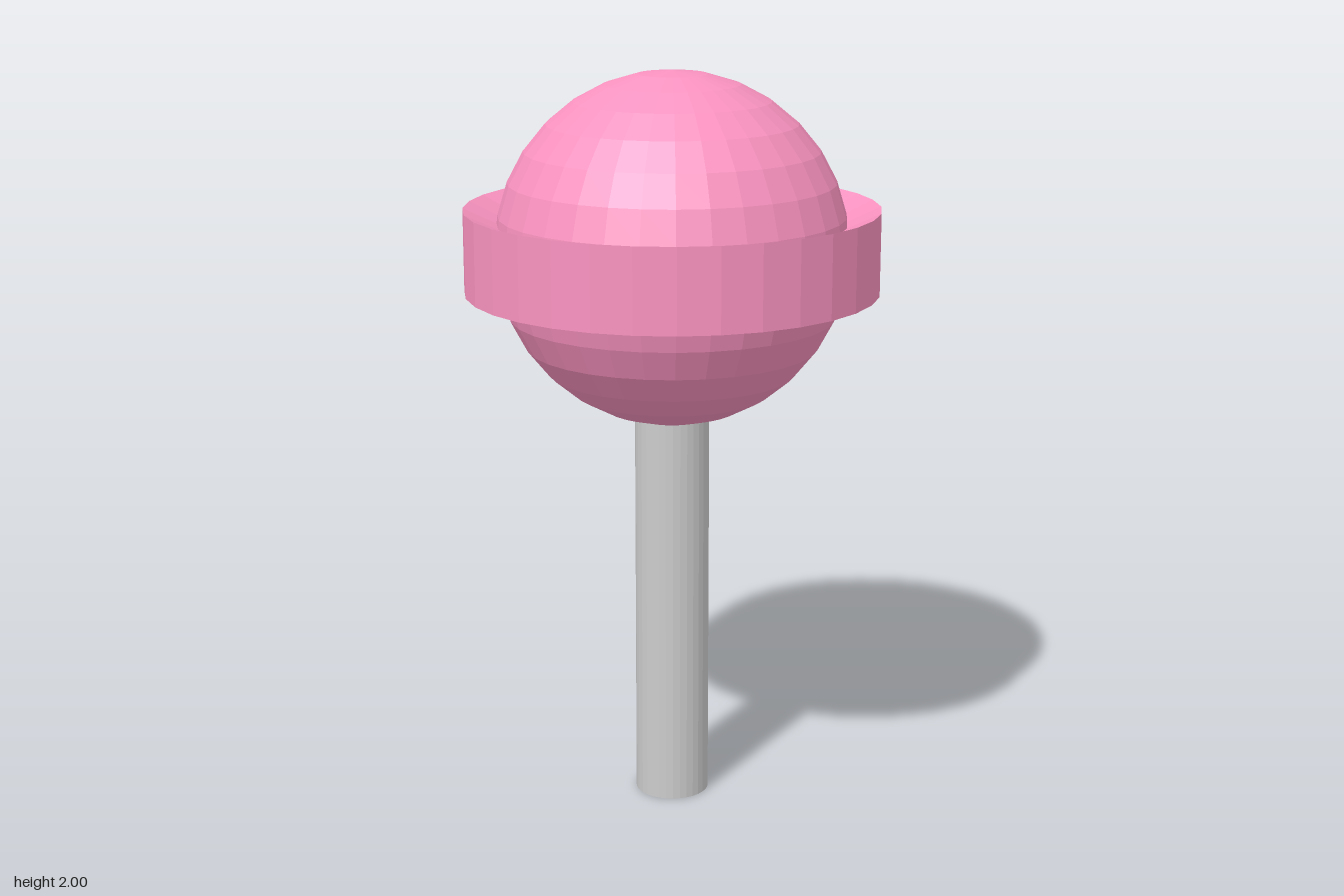
import * as THREE from 'three';

export function createModel() {
  const model = new THREE.Group();
  const pink = new THREE.MeshStandardMaterial({ color: 0xfa93c0, flatShading: true });
  const grey = new THREE.MeshStandardMaterial({ color: 0xcccccc, flatShading: true });
  const SIDES = 32;
  const CENTRE = 1.532;

  const add = (name, geometry, material, y) => {
    const mesh = new THREE.Mesh(geometry, material);
    mesh.name = name;
    mesh.position.y = y;
    model.add(mesh);
  };

  // Straight stick, its top end sunk into the candy
  add('stick', new THREE.CylinderGeometry(0.1, 0.1, 1.1, SIDES), grey, 0.55);

  // Faceted candy ball
  add('candyBall', new THREE.SphereGeometry(0.468, SIDES, 16), pink, CENTRE);

  // Band round the ball; its upper and lower faces dip inwards to meet the ball
  const profile = [[0.45, -0.064], [0.55, -0.11], [0.55, 0.11], [0.45, 0.064]]
    .map(([r, y]) => new THREE.Vector2(r, y));
  add('candyBand', new THREE.LatheGeometry(profile, SIDES), pink, CENTRE);

  return model;
}
